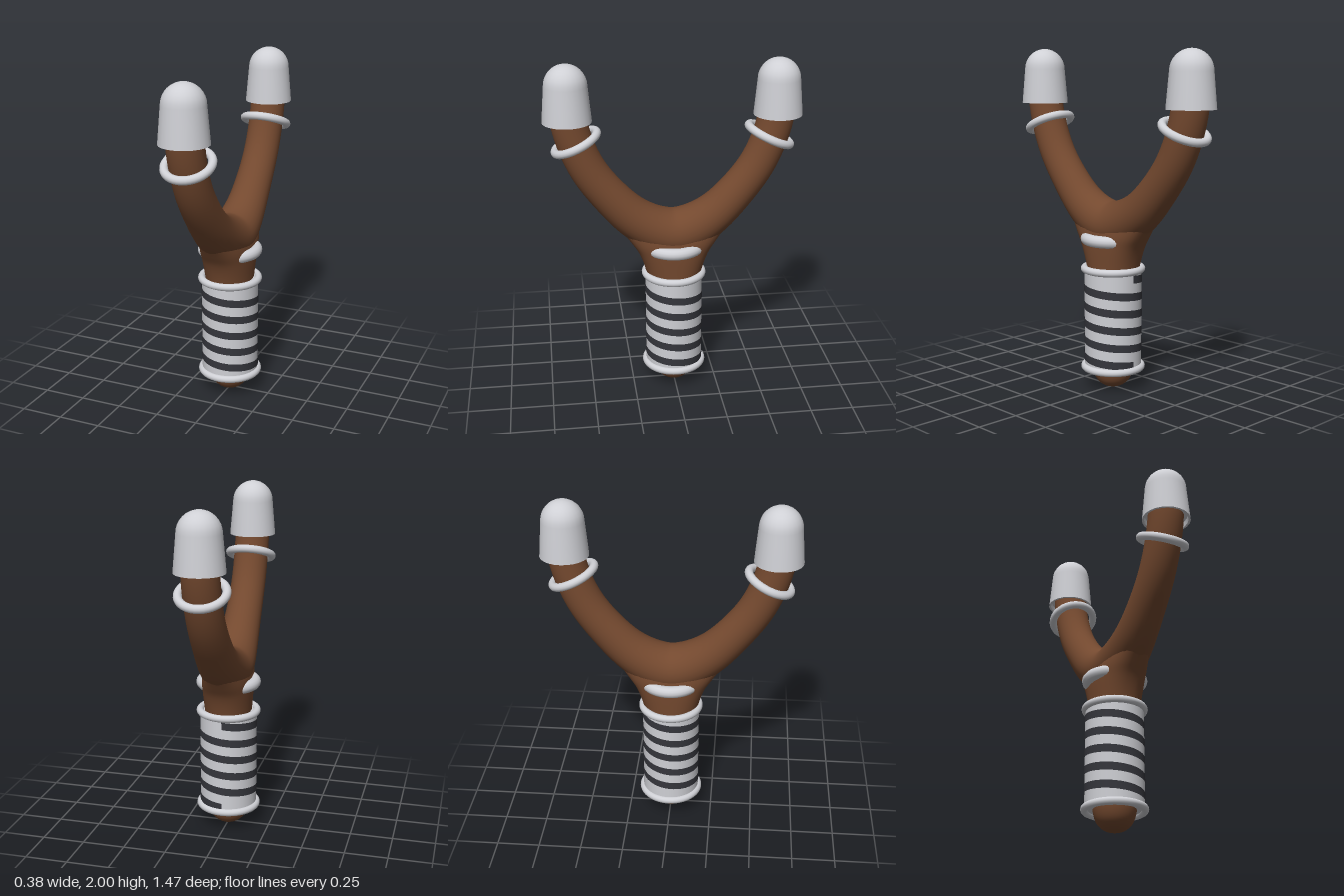
import * as THREE from 'three';
import { toCreasedNormals } from 'three/addons/utils/BufferGeometryUtils.js';

const wood = new THREE.MeshStandardMaterial({ color: 0x74492f });
const pale = new THREE.MeshStandardMaterial({ color: 0xcfd0d5 });
const dark = new THREE.MeshStandardMaterial({ color: 0x35363c, side: THREE.DoubleSide });
wood.name = 'brown wood';
pale.name = 'pale grey';
dark.name = 'dark stripe';

const V = (x, y, z) => new THREE.Vector3(x, y, z);

function add(parent, name, geometry, material, position = V(0, 0, 0)) {
  const mesh = new THREE.Mesh(geometry, material);
  mesh.name = name;
  mesh.position.copy(position);
  parent.add(mesh);
  return mesh;
}

// Grid of points at(u, v) turned into a smooth surface; v wraps round when closed
function surface(rows, cols, at, closed) {
  const pos = [], index = [];
  const n = closed ? cols : cols + 1;
  for (let i = 0; i <= rows; i++) {
    for (let j = 0; j < n; j++) pos.push(...at(i / rows, j / cols).toArray());
  }
  for (let i = 0; i < rows; i++) {
    for (let j = 0; j < cols; j++) {
      const k = (j + 1) % n;
      const a = i * n + j, b = i * n + k, c = a + n, d = b + n;
      index.push(a, b, c, b, d, c);
    }
  }
  const g = new THREE.BufferGeometry();
  g.setAttribute('position', new THREE.Float32BufferAttribute(pos, 3));
  g.setIndex(index);
  g.computeVertexNormals();
  return g;
}

// Wooden grip: round at the foot, widening into a flat oval under the fork
function gripGeometry() {
  // x half-width, y, z half-width
  const profile = new THREE.CatmullRomCurve3([
    V(0.001, 0.005, 0.001), V(0.06, 0.02, 0.06), V(0.1, 0.058, 0.1), V(0.121, 0.12, 0.121),
    V(0.125, 0.25, 0.125), V(0.13, 0.55, 0.14), V(0.136, 0.74, 0.165), V(0.14, 0.86, 0.205),
    V(0.138, 0.93, 0.25), V(0.125, 1.0, 0.3),
  ]);
  return surface(48, 40, (u, v) => {
    const p = profile.getPoint(u);
    const a = -v * Math.PI * 2, c = Math.cos(a), s = Math.sin(a);
    const e = 2 / (2 + 0.5 * THREE.MathUtils.smoothstep(p.y, 0.6, 0.9));
    return V(Math.sign(c) * Math.abs(c) ** e * p.x, p.y, Math.sign(s) * Math.abs(s) ** e * p.z);
  }, true);
}

// Curved fork: a tube that thins towards both tips
function forkGeometry() {
  const half = [[0.1, 1.008], [0.23, 1.085], [0.36, 1.215], [0.475, 1.37], [0.545, 1.52], [0.585, 1.67], [0.595, 1.78]];
  const path = new THREE.CatmullRomCurve3([
    ...half.slice().reverse().map(([z, y]) => V(0, y, -z)),
    V(0, 0.985, 0),
    ...half.map(([z, y]) => V(0, y, z)),
  ]);
  const rings = 80, sides = 28;
  const g = new THREE.TubeGeometry(path, rings, 1, sides, false);
  const pos = g.attributes.position, p = V(0, 0, 0);
  for (let i = 0; i <= rings; i++) {
    const c = path.getPointAt(i / rings);
    const r = 0.103 + 0.037 * Math.exp(-((c.z / 0.27) ** 2));
    for (let j = 0; j <= sides; j++) {
      const k = i * (sides + 1) + j;
      p.fromBufferAttribute(pos, k).sub(c).multiplyScalar(r).add(c);
      pos.setXYZ(k, p.x, p.y, p.z);
    }
  }
  return g;
}

// Tip cap: tapered sleeve with a domed top and a recessed underside
function capGeometry() {
  const pts = [[0, 0.03], [0.122, 0.03], [0.126, 0], [0.139, 0]].map(([x, y]) => new THREE.Vector2(x, y));
  for (let i = 0; i <= 8; i++) {
    const a = (i / 8) * Math.PI / 2;
    pts.push(new THREE.Vector2(0.121 * Math.cos(a), 0.204 + 0.121 * Math.sin(a)));
  }
  return toCreasedNormals(new THREE.LatheGeometry(pts, 24), 0.7);
}

export function createModel() {
  const model = new THREE.Group();
  model.name = 'slingshot';

  add(model, 'grip', gripGeometry(), wood);
  add(model, 'fork', forkGeometry(), wood);

  // Grip wrap with one winding stripe of five turns
  add(model, 'gripWrap', new THREE.CylinderGeometry(0.168, 0.168, 0.6, 40), pale, V(0, 0.43, 0));
  const turns = 5, pitch = 0.103, width = 0.046;
  add(model, 'wrapStripe', surface(turns * 40, 1, (u, v) => {
    const a = u * turns * Math.PI * 2;
    return V(-0.1705 * Math.sin(a), 0.68 - u * turns * pitch + (v - 0.5) * width, -0.1705 * Math.cos(a));
  }, false), dark);

  // Flat rings round the grip and neck
  const rings = [
    ['lowerGripRing', 0.133, 0.168, 0.022],
    ['upperGripRing', 0.725, 0.168, 0.022],
    ['neckRing', 0.903, 0.155, 0.035],
  ];
  for (const [name, y, radius, tube] of rings) {
    add(model, name, new THREE.TorusGeometry(radius, tube, 14, 48).rotateX(Math.PI / 2), pale, V(0, y, 0));
  }

  // Tilted ring and cap on each arm
  for (const s of [1, -1]) {
    const arm = new THREE.Group();
    arm.name = s > 0 ? 'frontArmFittings' : 'backArmFittings';
    const ring = add(arm, 'armRing', new THREE.TorusGeometry(0.13, 0.024, 14, 40).rotateX(Math.PI / 2), pale, V(0, 1.555, s * 0.55));
    ring.rotation.x = s * 0.43;
    add(arm, 'tipCap', capGeometry(), pale, V(0, 1.675, s * 0.595));
    model.add(arm);
  }
  return model;
}
